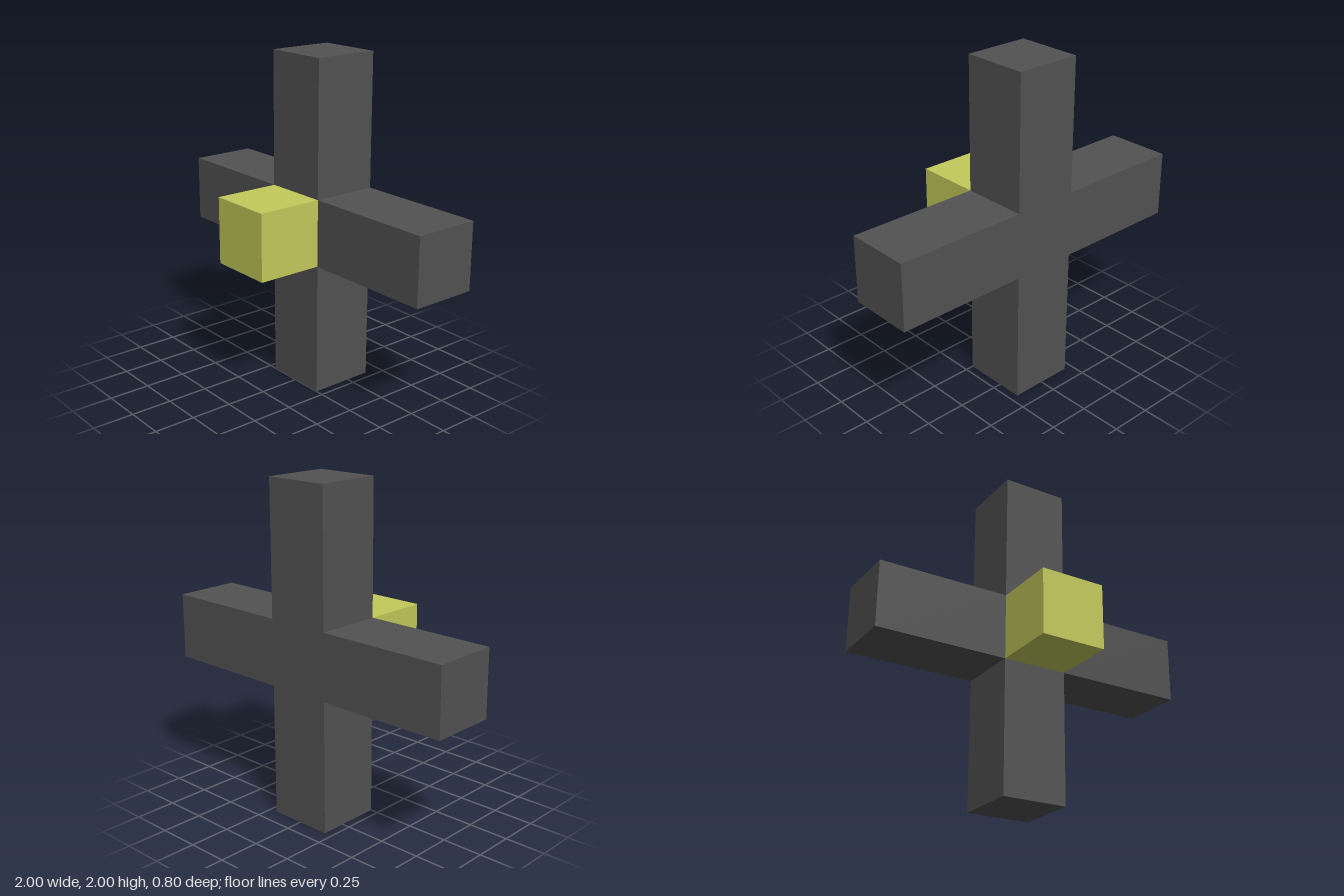
import * as THREE from 'three';

export function createModel() {
  const model = new THREE.Group();
  model.name = 'crossWithCube';

  const darkGrey = new THREE.MeshStandardMaterial({ color: 0x525252 });
  darkGrey.name = 'darkGrey';
  const yellow = new THREE.MeshStandardMaterial({ color: 0xc4ca5b });
  yellow.name = 'yellow';

  const unit = 0.4;     // thickness of every bar and side of the cube
  const h = unit / 2;   // half thickness
  const reach = 1;      // arm length from the centre

  // Cross: one seamless outline, each arm made by a quarter turn of the first
  const outline = [];
  for (let i = 0; i < 4; i++) {
    for (const [x, y] of [[reach, -h], [reach, h], [h, h]]) {
      outline.push(new THREE.Vector2(x, y).rotateAround(new THREE.Vector2(), i * Math.PI / 2));
    }
  }
  const cross = new THREE.Mesh(
    new THREE.ExtrudeGeometry(new THREE.Shape(outline), { depth: unit, bevelEnabled: false }),
    darkGrey
  );
  cross.name = 'cross';
  cross.position.set(0, reach, -unit);
  model.add(cross);

  // Cube standing out from the middle of the front
  const cube = new THREE.Mesh(new THREE.BoxGeometry(unit, unit, unit), yellow);
  cube.name = 'frontCube';
  cube.position.set(0, reach, h);
  model.add(cube);

  return model;
}
